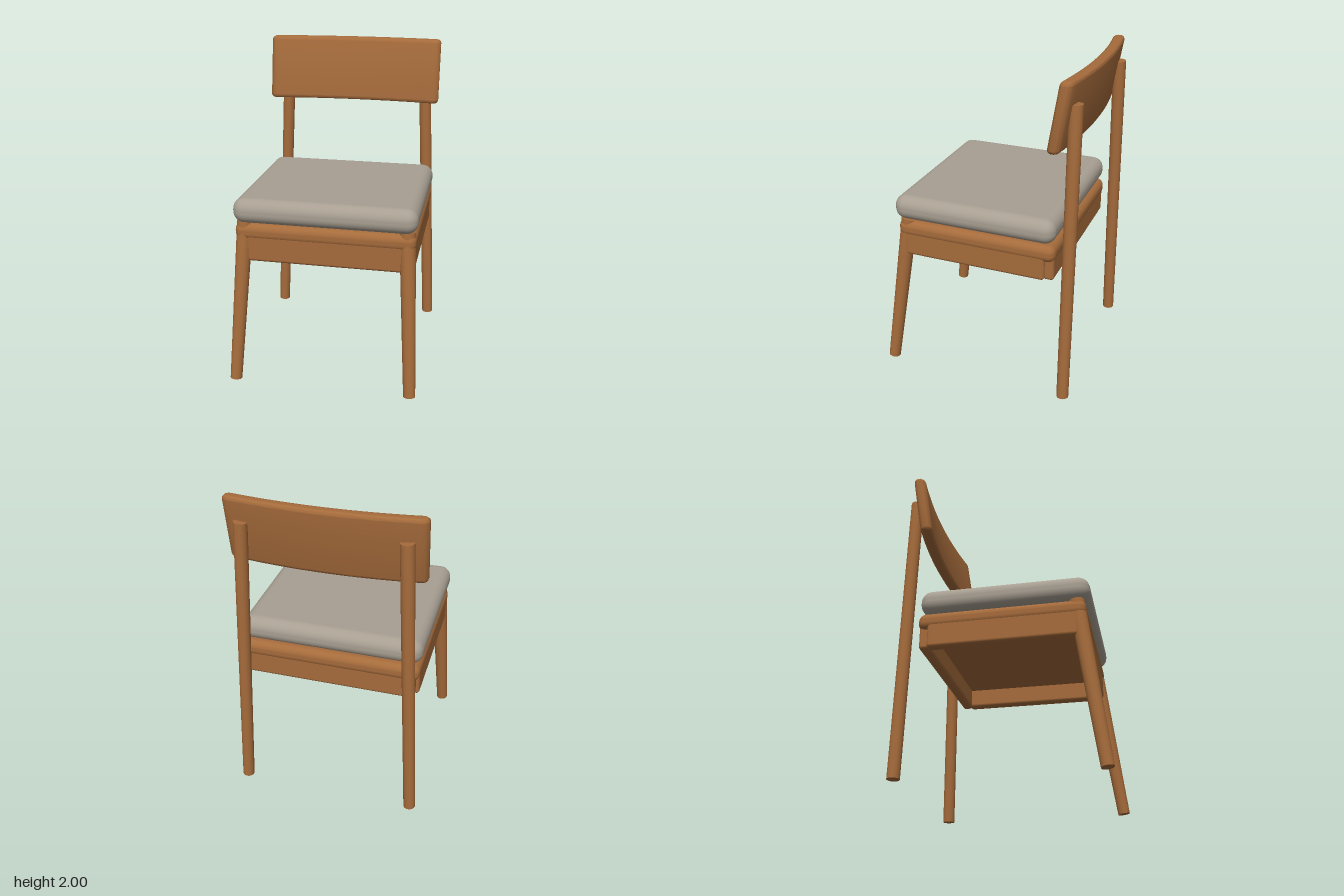
import * as THREE from 'three';
import { toCreasedNormals } from 'three/addons/utils/BufferGeometryUtils.js';
import { RoundedBoxGeometry } from 'three/addons/geometries/RoundedBoxGeometry.js';

export function createModel() {
  const chair = new THREE.Group();
  chair.name = 'chair';
  const wood = new THREE.MeshStandardMaterial({ color: 0xa56b3b });
  wood.name = 'warm wood';
  const fabric = new THREE.MeshStandardMaterial({ color: 0xa89f92 });
  fabric.name = 'grey fabric';

  function add(name, geometry, material) {
    const mesh = new THREE.Mesh(geometry, material);
    mesh.name = name;
    chair.add(mesh);
    return mesh;
  }

  // Rounded block given by its lower and upper corners
  function block(name, lo, hi, radius, material = wood) {
    const size = hi.map((v, i) => v - lo[i]);
    const mesh = add(name, new RoundedBoxGeometry(...size, 5, radius), material);
    mesh.position.set(...hi.map((v, i) => (v + lo[i]) / 2));
  }

  // Tapered round leg from foot to top
  function leg(name, foot, top, footRadius, topRadius) {
    const a = new THREE.Vector3(...foot);
    const b = new THREE.Vector3(...top);
    const axis = b.clone().sub(a);
    const mesh = add(name, new THREE.CylinderGeometry(topRadius, footRadius, axis.length(), 32), wood);
    mesh.position.copy(a).add(b).multiplyScalar(0.5);
    mesh.quaternion.setFromUnitVectors(new THREE.Vector3(0, 1, 0), axis.normalize());
  }

  // Legs and side aprons, mirrored
  for (const [side, s] of [['left', 1], ['right', -1]]) {
    leg(side + 'FrontLeg', [s * 0.549, 0.006, 0.587], [s * 0.494, 1.02, 0.447], 0.037, 0.049);
    leg(side + 'BackLeg', [s * 0.549, 0.003, -0.582], [s * 0.464, 1.86, -0.574], 0.037, 0.04);
    const x = [s * 0.545, s * 0.475].sort((p, q) => p - q);
    block(side + 'Apron', [x[0], 0.788, -0.44], [x[1], 0.97, 0.46], 0.02);
  }

  // Front and back aprons, with the rounded seat frame on top
  block('frontApron', [-0.475, 0.776, 0.43], [0.475, 0.97, 0.5], 0.02);
  block('backApron', [-0.525, 0.788, -0.493], [0.525, 0.97, -0.425], 0.02);
  block('seatFrame', [-0.55, 0.907, -0.5], [0.55, 1.015, 0.505], 0.046);

  // Seat cushion
  block('cushion', [-0.558, 1.018, -0.495], [0.558, 1.172, 0.53], 0.07, fabric);

  // Curved, leaning backrest: a thin bowed band raised with rounded edges
  const bevel = 0.025;
  const half = 0.545;
  const bow = (x) => 0.045 * (x / 0.57) ** 2;
  const stations = [[-half, 0.005], [-half + 0.006, 0.011]];
  for (let i = 0; i <= 24; i++) stations.push([(i / 12 - 1) * (half - 0.016), 0.013]);
  stations.push([half - 0.006, 0.011], [half, 0.005]);
  const front = stations.map(([x, t]) => new THREE.Vector2(x, -bow(x) - t));
  const back = stations.map(([x, t]) => new THREE.Vector2(x, -bow(x) + t)).reverse();
  const height = 0.41;
  const rest = new THREE.ExtrudeGeometry(new THREE.Shape([...front, ...back]), {
    depth: height - 2 * bevel, bevelEnabled: true, bevelSize: bevel,
    bevelThickness: bevel, bevelSegments: 5, steps: 1,
  });
  rest.rotateX(-Math.PI / 2);
  rest.translate(0, 1.59 + bevel, 0);
  const p = rest.attributes.position;
  for (let i = 0; i < p.count; i++) {
    p.setZ(i, p.getZ(i) - 0.518 - 0.165 * (p.getY(i) - 1.6));
  }
  add('backrest', toCreasedNormals(rest, 0.9), wood);

  return chair;
}
